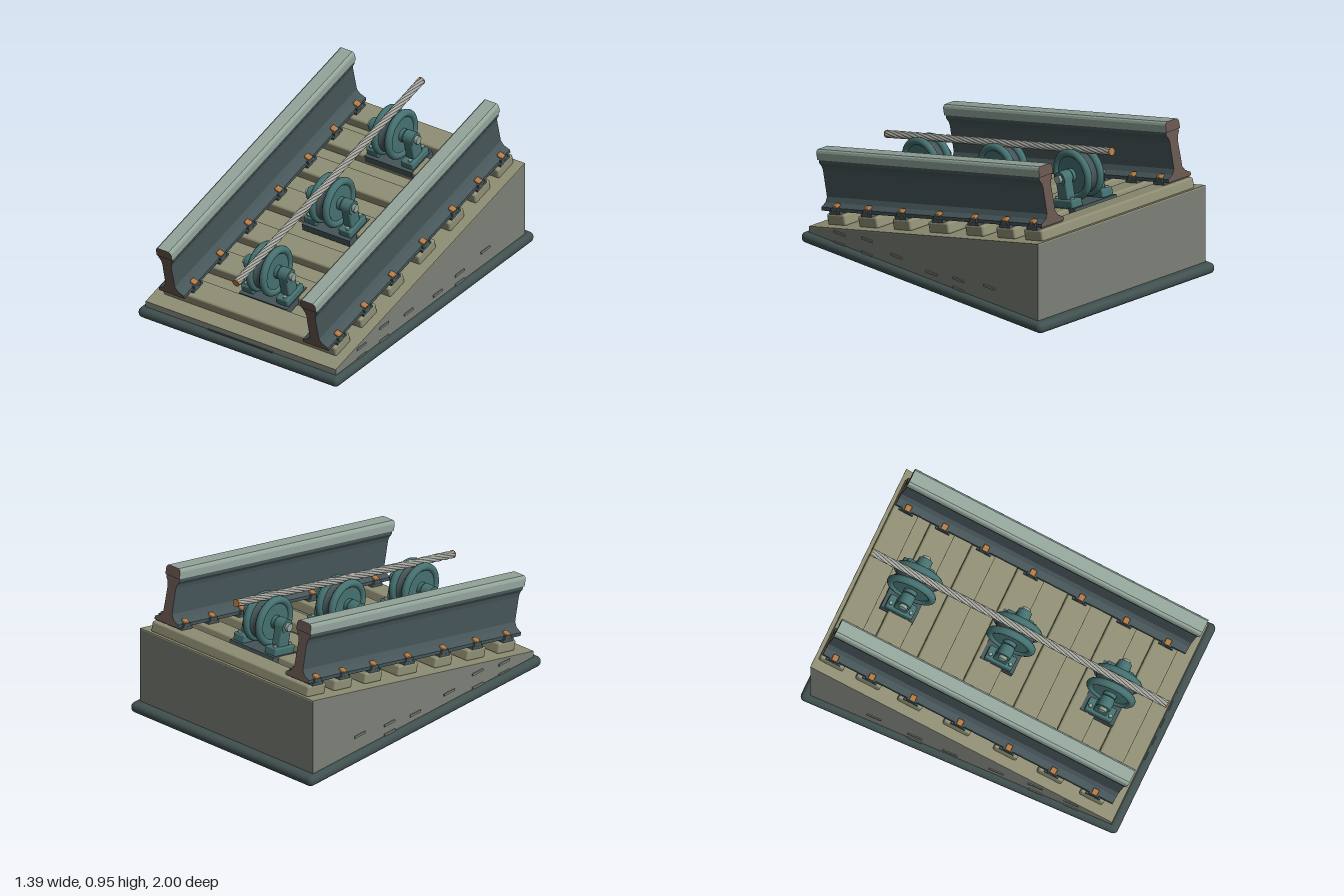
import * as THREE from 'three';
import { RoundedBoxGeometry } from 'three/addons/geometries/RoundedBoxGeometry.js';

const mat = (name, color, extra = {}) => {
  const m = new THREE.MeshStandardMaterial({ color, ...extra });
  m.name = name;
  return m;
};

export function createModel() {
  const concrete = mat('concrete', 0x7c8078);
  const timber = mat('weathered timber', 0x8f8e74);
  const baseDark = mat('dark base', 0x40504f);
  const steel = mat('dark steel', 0x465558);
  const polished = mat('polished steel', 0x93a59b);
  const rust = mat('cut steel', 0x66544d);
  const teal = mat('teal iron', 0x457170);
  const copper = mat('copper', 0xb07742);
  const wire = mat('wire', 0xa9aba3);

  const model = new THREE.Group();
  model.name = 'inclinedTrack';

  const add = (parent, name, geo, material, x = 0, y = 0, z = 0) => {
    const m = new THREE.Mesh(geo, material);
    m.name = name;
    m.position.set(x, y, z);
    parent.add(m);
    return m;
  };
  const box = (w, h, d) => new THREE.BoxGeometry(w, h, d);
  const rbox = (w, h, d, r) => new RoundedBoxGeometry(w, h, d, 2, r);
  // cylinder lying along x
  const xCyl = (r, len, sides = 24) => new THREE.CylinderGeometry(r, r, len, sides).rotateZ(Math.PI / 2);
  const polygon = (pts) => new THREE.Shape(pts.map(([x, y]) => new THREE.Vector2(x, y)));

  // base slab
  add(model, 'base', new RoundedBoxGeometry(1.39, 0.064, 1.985, 4, 0.03), baseDark, 0, 0.032, -0.007);

  // sloped embankment
  const wedge = new THREE.ExtrudeGeometry(
    polygon([[-0.945, 0.05], [0.945, 0.05], [0.945, 0.533], [-0.945, 0.099]]),
    { depth: 1.32, bevelEnabled: false });
  wedge.translate(0, 0, -0.66).rotateY(Math.PI / 2);
  add(model, 'embankment', wedge, concrete);
  add(model, 'frontSill', box(0.45, 0.008, 0.012), baseDark, 0, 0.065, 0.947);

  // raised ledges on the embankment sides
  const ledges = [[0.69, 0.13], [0.465, 0.157], [0.22, 0.125], [-0.29, 0.13], [-0.545, 0.157],
    [0.69, 0.066], [0.465, 0.07], [-0.07, 0.105], [-0.29, 0.07]];
  for (const side of [-1, 1]) {
    for (const [z, y] of ledges) add(model, 'ledge', box(0.012, 0.014, 0.09), concrete, side * 0.66, y, z);
  }

  // everything below is laid on the slope: local y is height above it
  const slope = new THREE.Group();
  slope.name = 'slope';
  slope.position.y = 0.316;
  slope.rotation.x = Math.atan(0.23);
  model.add(slope);
  add(slope, 'deck', box(1.32, 0.008, 1.94), timber, 0, -0.002, 0);

  // sleepers with rail plates and clips
  const sleepers = [[0.8, 0.15], [0.532, 0.16], [0.245, 0.15], [-0.068, 0.17],
    [-0.371, 0.15], [-0.636, 0.155], [-0.871, 0.155]];
  for (const [z, w] of sleepers) {
    add(slope, 'sleeper', rbox(1.2, 0.068, w, 0.013), timber, 0, 0.031, z);
    for (const side of [-1, 1]) {
      add(slope, 'railPlate', box(0.2, 0.018, 0.09), steel, side * 0.5, 0.072, z);
      for (const edge of [-1, 1]) {
        const x = side * 0.5 + edge * 0.082;
        add(slope, 'clipBlock', box(0.034, 0.022, 0.06), steel, x, 0.091, z);
        const clip = add(slope, 'clip', rbox(0.038, 0.02, 0.036, 0.005), copper, x - edge * 0.004, 0.108, z);
        clip.rotation.z = -edge * 0.35;
      }
    }
  }

  // rails: dark body with cut ends, and a polished running head
  const mirrored = (half) => polygon([...half, ...half.map(([x, y]) => [-x, y]).reverse()]);
  const railBody = mirrored([[0.088, 0.078], [0.088, 0.098], [0.05, 0.117], [0.033, 0.145],
    [0.031, 0.3], [0.036, 0.325], [0.05, 0.347], [0.05, 0.38]]);
  const railHead = mirrored([[0.053, 0.366], [0.053, 0.408], [0.048, 0.42], [0.038, 0.427]]);
  const extrude = (shape, len) => new THREE.ExtrudeGeometry(shape, { depth: len, bevelEnabled: false })
    .translate(0, 0, -len / 2);
  for (const side of [-1, 1]) {
    add(slope, 'railBody', extrude(railBody, 1.865), [rust, steel], side * 0.5, 0, -0.012);
    add(slope, 'railHead', extrude(railHead, 1.885), [rust, polished], side * 0.5, 0, -0.013);
  }

  // guide pulleys
  const groove = new THREE.LatheGeometry(
    [[0.14, -0.042], [0.127, -0.026], [0.119, -0.012], [0.117, 0], [0.119, 0.012], [0.127, 0.026], [0.14, 0.042]]
      .map(([r, t]) => new THREE.Vector2(r, t)), 40).rotateZ(Math.PI / 2);
  for (const z of [0.623, -0.02, -0.66]) {
    const pulley = new THREE.Group();
    pulley.name = 'pulley';
    pulley.position.set(0, 0.234, z);
    slope.add(pulley);
    add(pulley, 'groove', groove, steel);
    add(pulley, 'axle', xCyl(0.02, 0.32), polished);
    add(pulley, 'footPlate', box(0.33, 0.045, 0.21), steel, 0, -0.188, 0);
    for (const side of [-1, 1]) {
      add(pulley, 'flange', new THREE.TorusGeometry(0.129, 0.023, 12, 40).rotateY(Math.PI / 2), teal, side * 0.047);
      add(pulley, 'wheelDisc', xCyl(0.128, 0.022, 40), teal, side * 0.046);
      add(pulley, 'hub', xCyl(0.04, 0.025), teal, side * 0.067);
      add(pulley, 'pedestalFoot', rbox(0.084, 0.05, 0.17, 0.01), teal, side * 0.12, -0.145, 0);
      add(pulley, 'pedestal', rbox(0.062, 0.15, 0.085, 0.01), teal, side * 0.118, -0.065, 0);
      add(pulley, 'bearing', xCyl(0.042, 0.066), teal, side * 0.118);
      add(pulley, 'axleNut', xCyl(0.026, 0.022, 6), polished, side * 0.159);
      for (const end of [-1, 1]) {
        add(pulley, 'bolt', new THREE.CylinderGeometry(0.012, 0.012, 0.014, 6), polished,
          side * 0.135, -0.115, end * 0.064);
      }
    }
  }

  // twisted haul cable with copper cut ends
  const cable = new THREE.Group();
  cable.name = 'cable';
  cable.position.set(0, 0.375, -0.02);
  slope.add(cable);
  const length = 1.9;
  for (let s = 0; s < 6; s++) {
    const points = [];
    for (let i = 0; i <= 72; i++) {
      const t = i / 72;
      const a = (s / 6 + t * 5) * Math.PI * 2;
      points.push(new THREE.Vector3(0.0145 * Math.cos(a), 0.0145 * Math.sin(a), (t - 0.5) * length));
    }
    add(cable, 'strand', new THREE.TubeGeometry(new THREE.CatmullRomCurve3(points), 144, 0.0088, 7), wire);
  }
  add(cable, 'cableCore', new THREE.CylinderGeometry(0.014, 0.014, length, 12).rotateX(Math.PI / 2), wire);
  for (const end of [-1, 1]) {
    add(cable, 'cableEnd', new THREE.CylinderGeometry(0.023, 0.023, 0.008, 16).rotateX(Math.PI / 2), copper,
      0, 0, end * length / 2);
  }
  return model;
}
